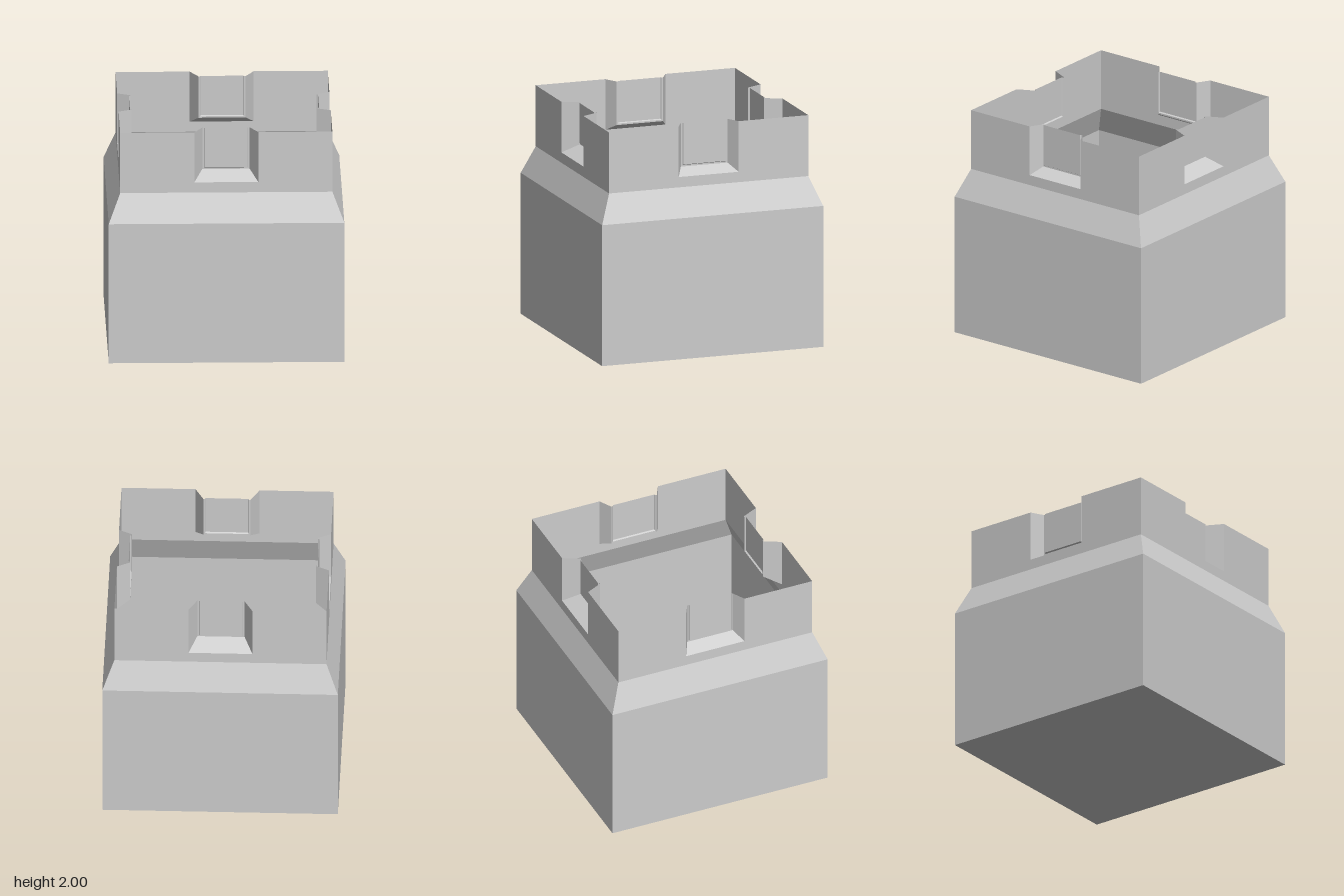
import * as THREE from 'three';

const TOP = 2, BASE = 0.995, NECK = 0.896;
const material = new THREE.MeshStandardMaterial({ color: 0xcccccc, flatShading: true, side: THREE.DoubleSide });

// Mesh of flat quads, corners counter-clockwise seen from outside
function quadMesh(name, quads) {
  const positions = quads.flatMap(([a, b, c, d]) => [a, b, c, a, c, d].flat());
  const geometry = new THREE.BufferGeometry();
  geometry.setAttribute('position', new THREE.Float32BufferAttribute(positions, 3));
  geometry.computeVertexNormals();
  const mesh = new THREE.Mesh(geometry, material);
  mesh.name = name;
  return mesh;
}

// U-shaped outline, open at the top: half width, sill height, distance from centre
const outline = (w, y, z) => [[-w, TOP, z], [-w, y, z], [w, y, z], [w, TOP, z]];

// Quads joining each outline to the next
function loft(outlines) {
  const quads = [];
  for (let s = 0; s < outlines.length - 1; s++) {
    const a = outlines[s], b = outlines[s + 1];
    for (let i = 0; i < 3; i++) quads.push([a[i], a[i + 1], b[i + 1], b[i]]);
  }
  return quads;
}

// Horizontal band of one wall between two heights
const band = (w0, y0, w1, y1) => [[-w0, y0, w0], [w0, y0, w0], [w1, y1, w1], [-w1, y1, w1]];

function createSide(name, angle, half, sill, depth) {
  const side = new THREE.Group();
  side.name = name;
  const edge = outline(NECK, 1.47, NECK);
  const notch = outline(0.27, 1.56, NECK);
  const throat = outline(half, sill, depth);
  const frame = outline(half - 0.013, sill + 0.013, depth);
  const panel = outline(half - 0.02, sill + 0.02, depth + 0.013);
  side.add(
    quadMesh('lowerWall', [band(BASE, 0, BASE, 1.225)]),
    quadMesh('slopedShoulder', [band(BASE, 1.225, NECK, 1.47)]),
    quadMesh('upperWall', loft([edge, notch])),
    quadMesh('notchReveal', loft([notch, throat])),
    quadMesh('panelFrame', loft([throat, frame, panel])),
    quadMesh('panel', [[panel[1], panel[2], panel[3], panel[0]]])
  );
  side.rotation.y = angle;
  return side;
}

export function createModel() {
  const model = new THREE.Group();
  model.name = 'openBox';

  // Four walls; the side pair has slightly shallower, wider notches
  ['front', 'left', 'back', 'right'].forEach((name, i) => {
    const size = i % 2 ? [0.21, 1.62, 0.786] : [0.2, 1.635, 0.754];
    model.add(createSide(name + 'Side', i * Math.PI / 2, ...size));
  });

  // Floor
  model.add(quadMesh('floor', [[[-BASE, 0, -BASE], [BASE, 0, -BASE], [BASE, 0, BASE], [-BASE, 0, BASE]]]));
  return model;
}
